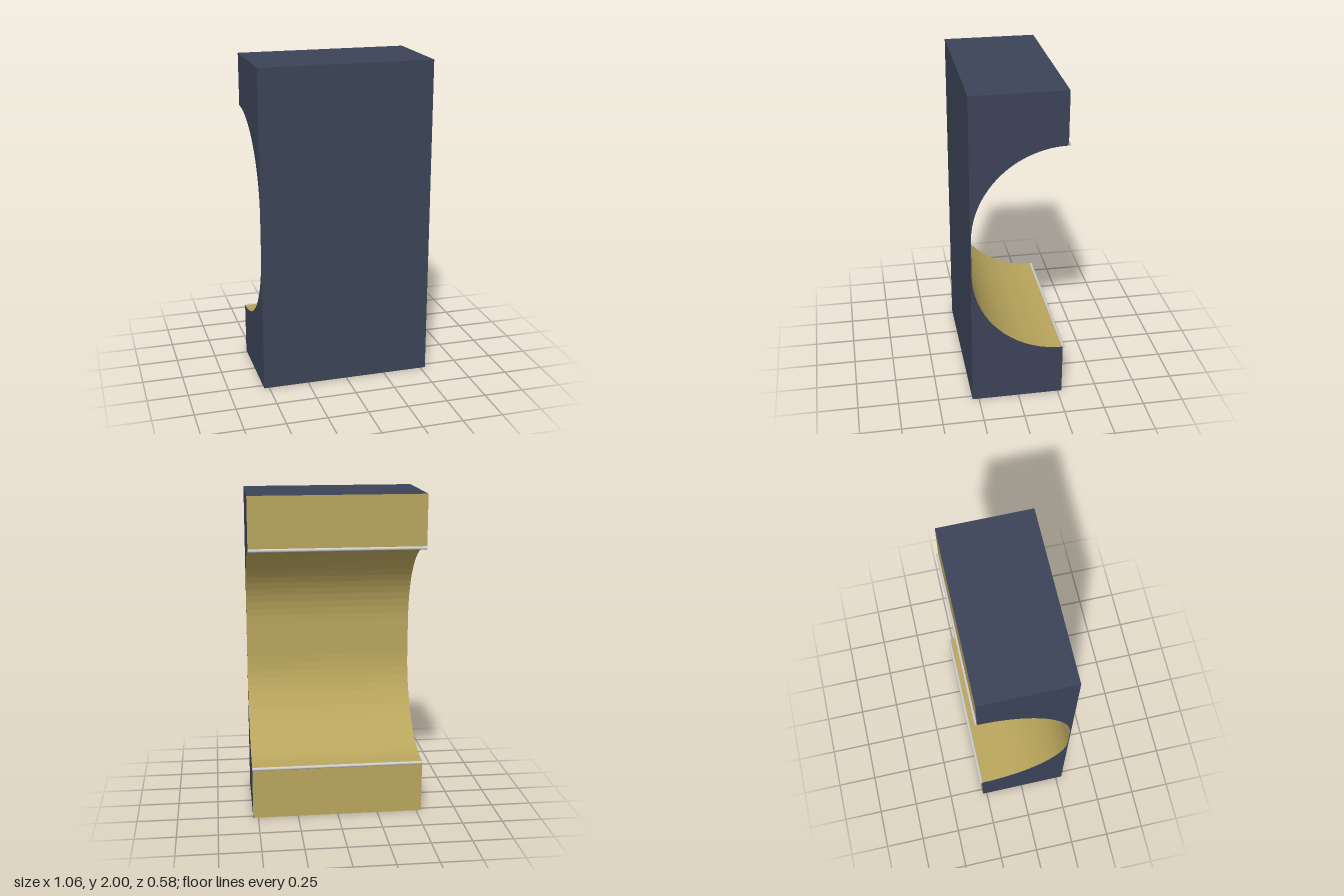
import * as THREE from 'three';

const WIDTH = 1.064, HEIGHT = 2, FRONT = 0.29, BACK = -0.277;
const LOW = 0.33, HIGH = 1.675, RADIUS = 0.561; // hollow: rim heights and corner radius

const dark = new THREE.MeshStandardMaterial({ color: 0x3b4357 });
const gold = new THREE.MeshStandardMaterial({ color: 0xb8a55c });
const grey = new THREE.MeshStandardMaterial({ color: 0xcccccc });

// Points of a quarter arc around (BACK, cy) in the z-y plane
function arc(cy, from, to, n = 18) {
  return Array.from({ length: n + 1 }, (_, i) => {
    const a = from + (to - from) * i / n;
    return new THREE.Vector2(BACK + RADIUS * Math.cos(a), cy + RADIUS * Math.sin(a));
  });
}

// Strip across the full width that follows a z-y profile, with flat facets
function strip(points) {
  const plane = new THREE.PlaneGeometry(WIDTH, 1, 1, points.length - 1);
  const pos = plane.attributes.position;
  for (let i = 0; i < pos.count; i++) {
    const p = points[Math.floor(i / 2)];
    pos.setXYZ(i, pos.getX(i), p.y, p.x);
  }
  const flat = plane.toNonIndexed();
  flat.computeVertexNormals();
  return flat;
}

export function createModel() {
  const model = new THREE.Group();
  const add = (name, geometry, material) => {
    const mesh = new THREE.Mesh(geometry, material);
    mesh.name = name;
    model.add(mesh);
    return mesh;
  };

  const outer = [[BACK, HEIGHT], [FRONT, HEIGHT], [FRONT, 0], [BACK, 0]]
    .map(([z, y]) => new THREE.Vector2(z, y));
  const hollow = [
    ...arc(LOW + RADIUS, -Math.PI / 2, 0),
    ...arc(HIGH - RADIUS, 0, Math.PI / 2),
  ];

  // Top, front and bottom, then the back faces and curved hollow
  add('outerCasing', strip(outer), dark);
  add('hollowLining', strip([outer[3], ...hollow, outer[0]]), gold);

  // End faces
  const profile = new THREE.Shape([...outer, ...hollow]);
  for (const side of [-1, 1]) {
    const cap = new THREE.ShapeGeometry(profile);
    cap.rotateY(-Math.PI / 2);
    if (side > 0) {
      // Reverse the winding so this end faces outward
      cap.setIndex(Array.from(cap.index.array).reverse());
      cap.computeVertexNormals();
    }
    cap.translate(side * WIDTH / 2, 0, 0);
    add(side > 0 ? 'leftEnd' : 'rightEnd', cap, dark);
  }

  // Rounded beads along both rims of the hollow
  for (const [name, y] of [['lowerBead', LOW - 0.006], ['upperBead', HIGH + 0.006]]) {
    const bead = new THREE.CylinderGeometry(0.01, 0.01, WIDTH, 16);
    bead.rotateZ(Math.PI / 2);
    add(name, bead, grey).position.set(0, y, -0.28);
  }
  return model;
}
